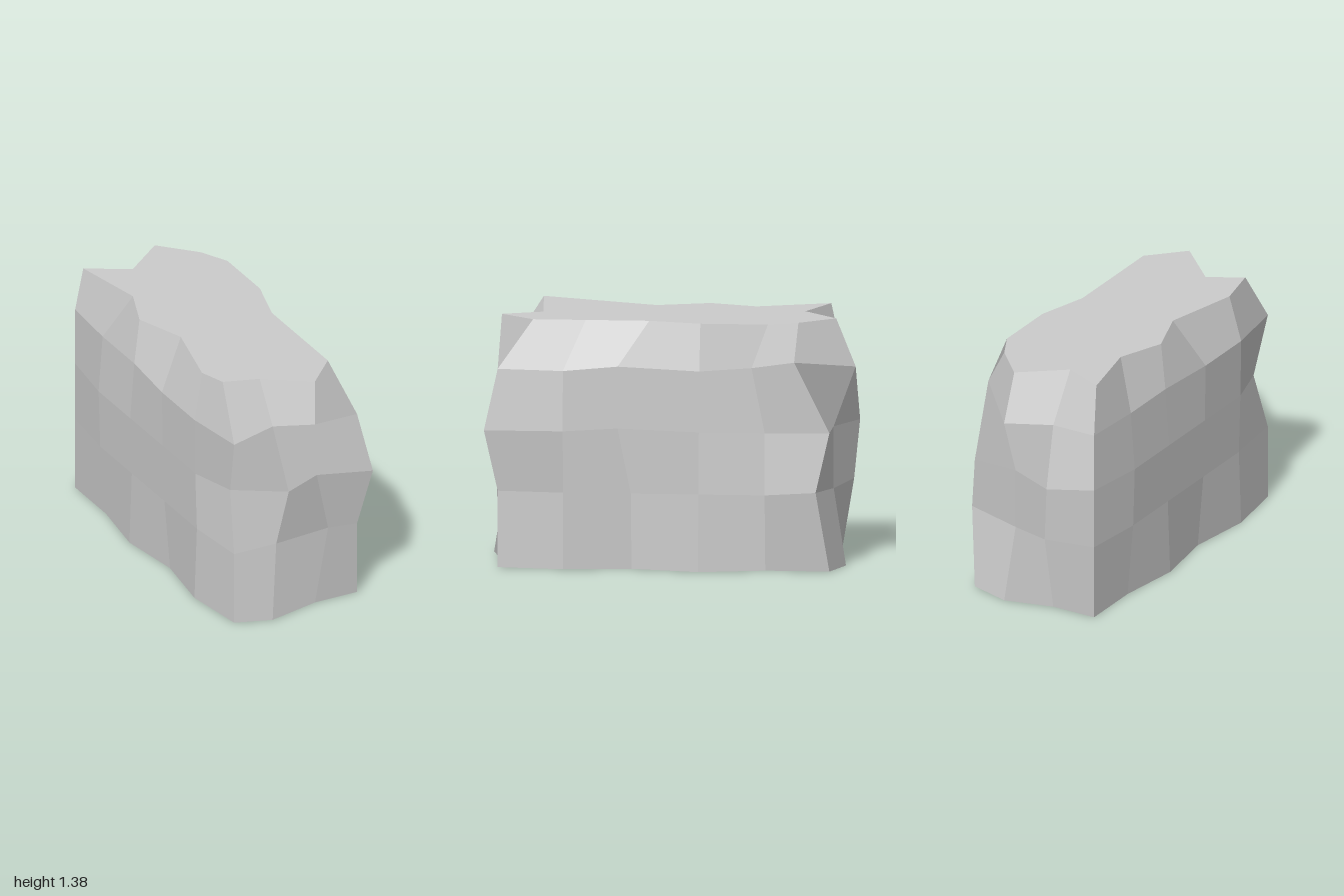
import * as THREE from 'three';

const FRONT_X = [-0.4, -0.14, 0.1, 0.36];
const SIDE_Z = [0.57, 0.2, -0.17, -0.53];

// One side of a layer: x swings in and out around a mean, every "period" columns.
const side = (zs, [mean, swing, period = 1]) =>
  zs.map((z, k) => [mean + (Math.floor(k / period) % 2 ? -swing : swing), z]);

// One layer of corners, counter-clockwise from above: front, +x side, back, -x side.
// "nudge" pushes single corners by [x, z, y].
function layer(y, right, left, nudge, lengthScale = 1) {
  const corners = [
    ...FRONT_X.map((x) => [x, 0.93]),
    ...side(SIDE_Z, right),
    ...FRONT_X.toReversed().map((x) => [x, -0.88]),
    ...side(SIDE_Z.toReversed(), left),
  ];
  return corners.map(([x, z], i) => {
    const [dx, dz, dy = 0] = nudge[i] ?? [0, 0];
    return new THREE.Vector3(x + dx, y + dy, z * lengthScale + dz);
  });
}

function rockGeometry() {
  const base = layer(0, [0.39, 0.035], [-0.425, 0.025],
    { 1: [-0.06, 0.07], 4: [-0.02, 0], 6: [0.02, 0], 9: [0.03, -0.07] });
  const bulge = layer(0.42, [0.4, 0], [-0.435, 0],
    { 2: [0.07, 0.02, 0.03], 8: [0.06, 0.07, 0.02], 10: [0, -0.09, 0.02] });
  const middle = layer(0.76, [0.405, 0.015, 2], [-0.445, 0],
    { 0: [0.03, -0.1], 1: [0.04, 0.07], 2: [0, 0.02, 0.03], 3: [0.06, 0.07],
      5: [0, 0.07, 0.02], 10: [-0.03, -0.12] });
  const shoulder = layer(1.09, [0.41, 0], [-0.435, 0.015, 2],
    { 1: [0, -0.04, 0.03], 5: [0.01, 0.07, 0.03], 6: [-0.05, 0], 7: [0, 0.07, 0.03],
      8: [0.03, 0.19, 0.06], 9: [0, -0.12] });
  const top = layer(1.353, [0.32, -0.04, 2], [-0.34, 0.05],
    { 0: [0.03, 0, 0.03], 1: [0.01, -0.02, -0.02], 2: [0, 0.186], 3: [-0.08, 0],
      5: [0, -0.05], 6: [0, -0.04], 7: [0, -0.12], 8: [-0.08, 0], 9: [0, -0.19],
      11: [0.02, -0.12, 0.01], 13: [0, -0.03], 14: [0, -0.04], 15: [0, 0.09] }, 0.8);
  const layers = [base, bulge, middle, shoulder, top];

  const points = [], normals = [];
  const addFacet = (corners, normal) => corners.forEach((p) => {
    points.push(p);
    normals.push(...normal.toArray());
  });

  // Side facets between neighbouring layers, each lit as one plane
  for (let r = 1; r < layers.length; r++) {
    const low = layers[r - 1], high = layers[r];
    low.forEach((a, i) => {
      const j = (i + 1) % low.length, b = low[j], c = high[j], d = high[i];
      const normal = c.clone().sub(a).cross(d.clone().sub(b)).normalize();
      addFacet([a, b, d, b, c, d], normal);
    });
  }
  // Underside and top face
  const up = new THREE.Vector3(0, 1, 0);
  const cap = (ring) => THREE.ShapeUtils.triangulateShape(
    ring.map((p) => new THREE.Vector2(p.x, -p.z)), []);
  for (const [a, b, c] of cap(base)) addFacet([base[c], base[b], base[a]], up.clone().negate());
  for (const [a, b, c] of cap(top)) addFacet([top[a], top[b], top[c]], up);

  const geometry = new THREE.BufferGeometry().setFromPoints(points);
  geometry.setAttribute('normal', new THREE.Float32BufferAttribute(normals, 3));
  return geometry;
}

export function createModel() {
  const group = new THREE.Group();
  group.name = 'boulder';
  const rock = new THREE.Mesh(
    rockGeometry(),
    new THREE.MeshStandardMaterial({ color: 0xcccccc }),
  );
  rock.name = 'rock';
  group.add(rock);
  return group;
}
